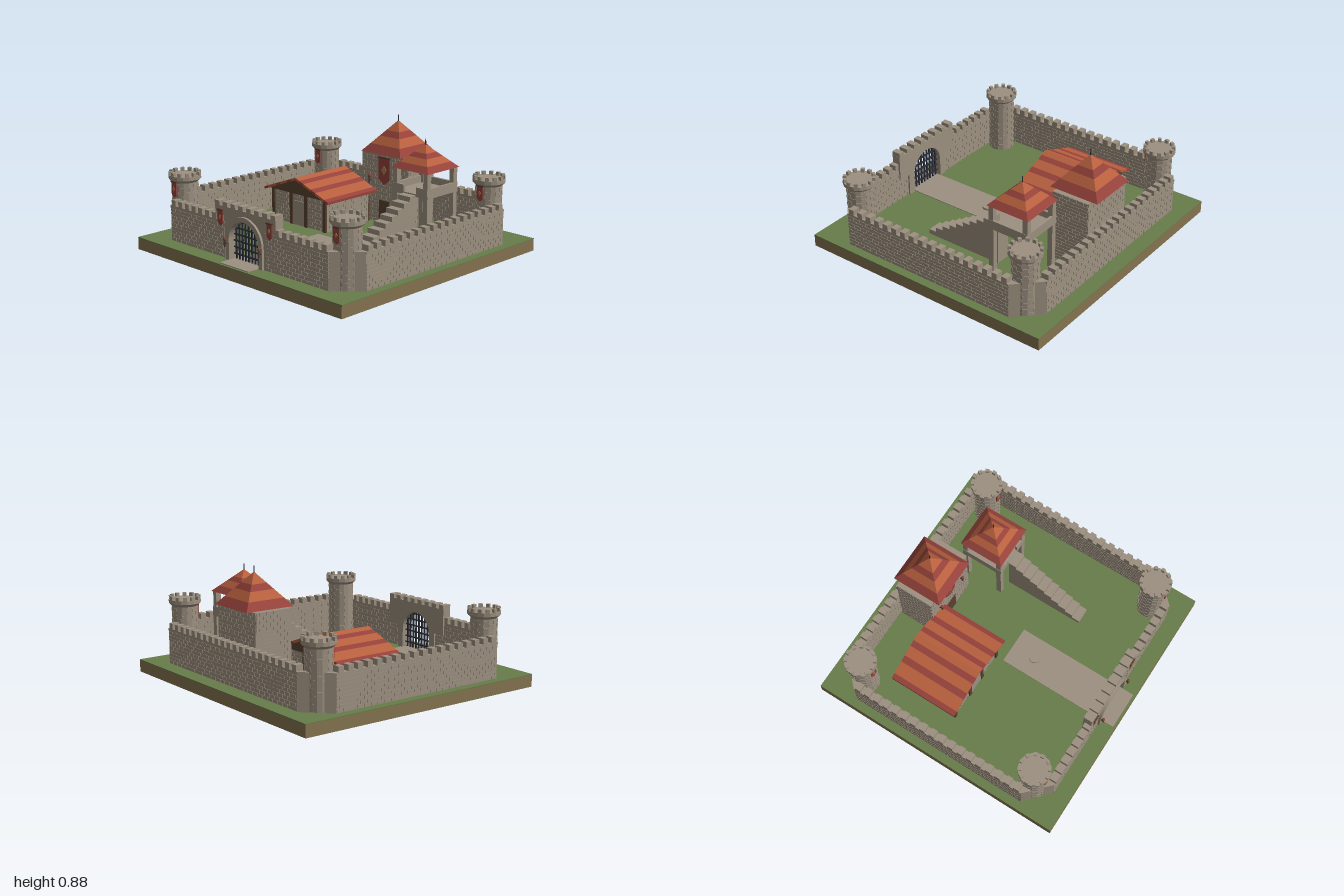
import * as THREE from 'three';
import { mergeGeometries } from 'three/addons/utils/BufferGeometryUtils.js';

const material = (name, hex) => {
  const m = new THREE.MeshStandardMaterial({ color: hex });
  m.name = name;
  return m;
};
const stone = material('stone', 0x9c9080), grass = material('grass', 0x687c4a);
const earth = material('earth', 0x84734f), tile = material('orange tile', 0xb8603e);
const red = material('red', 0x96423b), wood = material('dark wood', 0x5a4231);
const iron = material('iron', 0x2b2f38), brass = material('brass', 0xa8834e);
const G = 0.09; // ground height

function add(parent, name, geo, mat, x = 0, y = 0, z = 0, ry = 0) {
  const m = new THREE.Mesh(geo, mat);
  m.name = name;
  m.position.set(x, y, z);
  m.rotation.y = ry;
  parent.add(m);
  return m;
}
function group(parent, name, x = 0, y = 0, z = 0, ry = 0) {
  const g = new THREE.Group();
  g.name = name;
  g.position.set(x, y, z);
  g.rotation.y = ry;
  parent.add(g);
  return g;
}
// Box geometry given by its extents
function span(x0, x1, y0, y1, z0, z1) {
  return new THREE.BoxGeometry(x1 - x0, y1 - y0, z1 - z0)
    .translate((x0 + x1) / 2, (y0 + y1) / 2, (z0 + z1) / 2);
}
function extrude(points, depth) {
  const shape = points instanceof THREE.Shape ? points : new THREE.Shape(points.map(p => new THREE.Vector2(...p)));
  return new THREE.ExtrudeGeometry(shape, { depth, bevelEnabled: false, curveSegments: 20 });
}
function flat(geo) {
  const g = geo.toNonIndexed();
  g.computeVertexNormals();
  return g;
}
// Staggered stone courses in relief on a face at depth z
function courses(x0, x1, y0, y1, z) {
  const list = [], bw = 0.055, bh = 0.026;
  for (let r = 0; y0 + (r + 1) * bh <= y1 + 0.002; r++) {
    for (let x = x0 - (r % 2) * bw / 2; x < x1; x += bw) {
      const a = Math.max(x, x0) + 0.002, b = Math.min(x + bw, x1) - 0.002;
      if (b - a > 0.008) list.push(span(a, b, y0 + r * bh + 0.002, y0 + (r + 1) * bh - 0.002, z - 0.001, z + 0.003));
    }
  }
  return mergeGeometries(list);
}

// Curtain wall section with its outside towards local +z; an angled end meets a tower
function wall(parent, name, x0, x1, slant0, slant1, x, z, ry) {
  const g = group(parent, name, x, 0, z, ry), e = 0.05;
  const plan = extrude([[x0, -0.02], [x1, -0.02], [x1 + slant1 * e, 0.03], [x0 - slant0 * e, 0.03]], 0.345 - G);
  add(g, 'wallBody', plan.rotateX(-Math.PI / 2), stone, 0, G, 0);
  add(g, 'wallCoping', span(x0, x1, 0.328, 0.345, -0.03, 0.025), stone);
  add(g, 'wallStones', courses(x0, x1, G, 0.325, 0.02), stone);
  add(g, 'wallInnerStones', courses(-x1, -x0, G, 0.325, 0.03), stone, 0, 0, 0, Math.PI);
  const n = Math.round((x1 - x0) / 0.075), step = (x1 - x0) / n, merlons = [];
  for (let i = 0; i < n; i++) {
    const c = x0 + (i + 0.5) * step;
    merlons.push(span(c - 0.021, c + 0.021, 0.345, 0.385, -0.03, 0.025));
  }
  add(g, 'wallMerlons', mergeGeometries(merlons), stone);
}

// Hanging cloth with a pointed end and a diamond, facing +z; y is its top
function banner(parent, name, x, y, z, w, h) {
  const g = group(parent, name, x, y, z), s = w / 2, c = -h * 0.45, d = w * 0.24;
  add(g, 'bannerCloth', extrude([[-s, 0], [-s, -h * 0.8], [0, -h], [s, -h * 0.8], [s, 0]], 0.006), red);
  add(g, 'bannerDiamond', extrude([[0, c + d * 1.5], [-d, c], [0, c - d * 1.5], [d, c]], 0.003), brass, 0, 0, 0.006);
  add(g, 'bannerRod', span(-s - 0.004, s + 0.004, -0.004, 0.006, -0.002, 0.01), wood);
}

function torch(parent, x, y, z) {
  const g = group(parent, 'torch', x, y, z);
  add(g, 'torchHandle', new THREE.CylinderGeometry(0.009, 0.005, 0.05, 8), wood);
  add(g, 'torchFlame', new THREE.SphereGeometry(0.011, 8, 6).scale(1, 1.3, 1), red, 0, 0.03, 0);
  add(g, 'torchBracket', span(-0.004, 0.004, -0.008, 0, -0.02, 0), iron);
}

function tower(parent, x, z) {
  const g = group(parent, 'cornerTower', x, 0, z);
  add(g, 'towerBody', flat(new THREE.CylinderGeometry(0.092, 0.092, 0.41, 16)), stone, 0, G + 0.205, 0);
  add(g, 'towerCorbel', flat(new THREE.CylinderGeometry(0.114, 0.092, 0.02, 16)), stone, 0, 0.5, 0);
  add(g, 'towerCrown', flat(new THREE.CylinderGeometry(0.114, 0.114, 0.026, 16)), stone, 0, 0.523, 0);
  const merlons = [], stones = [];
  for (let i = 0; i < 12; i++) {
    merlons.push(new THREE.BoxGeometry(0.026, 0.026, 0.022).translate(0, 0.548, 0.101).rotateY(i * Math.PI / 6));
  }
  for (let r = 0; r < 15; r++) for (let i = 0; i < 16; i++) {
    if ((r + i) % 2) continue;
    stones.push(new THREE.BoxGeometry(0.033, 0.022, 0.006).translate(0, G + 0.014 + r * 0.026, 0.0905)
      .rotateY((i + 0.5) * Math.PI / 8));
  }
  add(g, 'towerMerlons', mergeGeometries(merlons), stone);
  add(g, 'towerStones', mergeGeometries(stones), stone);
  banner(g, 'towerBanner', 0, 0.495, 0.095, 0.05, 0.11);
}

// Square pointed roof in alternating bands with a finial
function pointedRoof(parent, name, x, y, z, half, h) {
  const g = group(parent, name, x, y, z), t = [0, 0.25, 0.5, 0.68, 1];
  for (let i = 0; i < 4; i++) {
    const r = k => half * Math.SQRT2 * (1 - k) + 0.001;
    const band = new THREE.CylinderGeometry(r(t[i + 1]), r(t[i]), h * (t[i + 1] - t[i]), 4).rotateY(Math.PI / 4);
    add(g, 'roofBand', flat(band), i % 2 ? tile : red, 0, h * (t[i] + t[i + 1]) / 2, 0);
  }
  add(g, 'roofFinial', new THREE.CylinderGeometry(0.003, 0.005, 0.06, 8), iron, 0, h + 0.01, 0);
}

function gatehouse(parent) {
  const g = group(parent, 'gatehouse');
  const s = new THREE.Shape();
  s.moveTo(0.145, G).lineTo(0.2, G).lineTo(0.2, 0.255).lineTo(0.295, 0.255).lineTo(0.295, 0.445);
  s.lineTo(-0.295, 0.445).lineTo(-0.295, 0.255).lineTo(-0.2, 0.255).lineTo(-0.2, G).lineTo(-0.145, G);
  s.lineTo(-0.145, 0.23).absarc(0, 0.23, 0.145, Math.PI, 0, true).lineTo(0.145, G);
  add(g, 'gateBody', extrude(s, 0.065), stone, 0, 0, 0.778);
  const a = new THREE.Shape();
  a.moveTo(0.145, G).lineTo(0.18, G).lineTo(0.18, 0.23).absarc(0, 0.23, 0.18, 0, Math.PI, false);
  a.lineTo(-0.18, G).lineTo(-0.145, G).lineTo(-0.145, 0.23).absarc(0, 0.23, 0.145, Math.PI, 0, true);
  add(g, 'gateArch', extrude(a, 0.018), stone, 0, 0, 0.842);
  for (let i = 0; i < 8; i++) {
    const x = -0.272 + i * 0.0777;
    add(g, 'gateMerlon', span(x - 0.022, x + 0.022, 0.445, 0.475, 0.776, 0.845), stone);
  }
  // Portcullis
  for (let i = -4; i <= 4; i++) {
    const x = i * 0.031, top = 0.23 + Math.sqrt(0.145 ** 2 - x * x);
    add(g, 'gateBar', span(x - 0.005, x + 0.005, G + 0.004, top, 0.805, 0.815), iron);
  }
  for (let y = 0.13; y < 0.37; y += 0.045) {
    const w = y > 0.23 ? Math.sqrt(0.145 ** 2 - (y - 0.23) ** 2) : 0.145;
    add(g, 'gateCrossbar', span(-w, w, y - 0.004, y + 0.004, 0.803, 0.817), iron);
  }
  for (const k of [-1, 1]) {
    banner(g, 'gateBanner', k * 0.24, 0.415, 0.844, 0.05, 0.11);
    torch(g, k * 0.168, 0.205, 0.876);
  }
}

function keep(parent) {
  const g = group(parent, 'keep');
  add(g, 'keepBody', span(-0.222, 0.222, G, 0.61, -0.785, -0.505), stone);
  for (const k of [0, 1]) {
    add(g, 'keepStones', courses(-0.222, 0.222, G, 0.61, 0.14), stone, 0, 0, -0.645, k * Math.PI);
    add(g, 'keepSideStones', courses(-0.14, 0.14, G, 0.61, 0.222), stone, 0, 0, -0.645, (k - 0.5) * Math.PI);
    torch(g, (k - 0.5) * 0.26, 0.4, -0.482);
  }
  pointedRoof(g, 'keepRoof', 0, 0.611, -0.645, 0.187, 0.224);
  banner(g, 'keepBanner', 0, 0.578, -0.502, 0.105, 0.2);
  add(g, 'keepDoor', span(-0.05, 0.05, G, 0.26, -0.505, -0.498), wood);
}

function watchtower(parent) {
  const g = group(parent, 'watchtower', 0.45, 0, -0.425);
  for (const sx of [-1, 1]) for (const sz of [-1, 1]) {
    add(g, 'watchtowerPost', new THREE.BoxGeometry(0.038, 0.52, 0.038), stone, sx * 0.138, G + 0.26, sz * 0.138);
  }
  add(g, 'watchtowerFloor', span(-0.16, 0.16, 0.43, 0.448, -0.16, 0.16), stone);
  for (let i = 0; i < 4; i++) { // parapets, with a gap at the stair
    const p = group(g, 'watchtowerParapet', 0, 0, 0, i * Math.PI / 2);
    if (i) add(p, 'parapetSide', span(-0.157, 0.157, 0.44, 0.497, 0.14, 0.16), stone);
    else for (const k of [-1, 1]) add(p, 'parapetSide', span(k * 0.107 - 0.051, k * 0.107 + 0.051, 0.44, 0.497, 0.14, 0.16), stone);
  }
  pointedRoof(g, 'watchtowerRoof', 0, 0.604, 0, 0.166, 0.16);
  const n = 10, run = 0.06, rise = (0.44 - G) / n; // solid stair
  for (let i = 0; i < n; i++) {
    const z = 0.76 - i * run;
    add(g, 'stairStep', span(-0.055, 0.055, G, G + (i + 1) * rise, z - run, z), stone);
  }
}

function hall(parent) {
  const g = group(parent, 'hall', -0.402, 0, -0.252), w = 0.275, d = 0.215;
  add(g, 'hallBody', span(-w, w, G, 0.34, -d, d), stone);
  for (const k of [0, 1]) {
    const side = group(g, 'hallEnd', 0, 0, 0, k * Math.PI);
    add(side, 'hallGable', extrude([[-0.295, 0.325], [0.295, 0.325], [0, 0.433]], 0.02), wood, 0, 0, d);
    for (const x of [-w + 0.012, -0.075, 0.075, w - 0.012]) {
      add(side, 'hallTimber', span(x - 0.014, x + 0.014, G, 0.335, d - 0.002, d + 0.014), wood);
    }
    add(side, 'hallSideStones', courses(-d, d, G, 0.335, w), stone, 0, 0, 0, Math.PI / 2);
    add(side, 'hallStones', courses(-w, w, G, 0.335, d), stone);
  }
  add(g, 'hallDoor', span(-0.06, 0.06, G, 0.27, d, d + 0.008), stone);
  // Banded roof slopes
  const t = [0, 0.11, 0.38, 0.52, 0.74, 0.87, 1];
  for (const k of [-1, 1]) for (let i = 0; i < 6; i++) {
    const p = (v, dy) => [k * 0.327 * (1 - v), 0.33 + 0.122 * v + dy];
    const q = [p(t[i], 0), p(t[i + 1], 0), p(t[i + 1], -0.018), p(t[i], -0.018)];
    add(g, 'hallRoofBand', extrude(q, 0.515), i % 2 ? tile : red, 0, 0, -0.2575);
  }
}

export function createModel() {
  const castle = new THREE.Group();
  castle.name = 'castle';
  add(castle, 'earthBase', span(-1, 1, 0, 0.084, -0.963, 0.963), earth);
  add(castle, 'lawn', span(-1, 1, 0.084, G, -0.963, 0.963), grass);
  add(castle, 'path', span(-0.14, 0.14, G, 0.095, 0.03, 0.947), stone);
  add(castle, 'roundSlab', new THREE.CylinderGeometry(0.043, 0.043, 0.018, 24), stone, 0, 0.1, 0.21);

  wall(castle, 'frontWallRight', -0.77, -0.2, 1, 0, 0, 0.822, 0);
  wall(castle, 'frontWallLeft', 0.2, 0.77, 0, 1, 0, 0.822, 0);
  wall(castle, 'backWall', -0.77, 0.77, 1, 1, 0, -0.83, Math.PI);
  for (const k of [-1, 1]) {
    wall(castle, k < 0 ? 'rightWall' : 'leftWall', -0.685, 0.685, 1, 1, k * 0.916, 0, k * Math.PI / 2);
    tower(castle, k * 0.79, 0.697);
    tower(castle, k * 0.79, -0.705);
  }
  gatehouse(castle);
  keep(castle);
  watchtower(castle);
  hall(castle);
  return castle;
}
